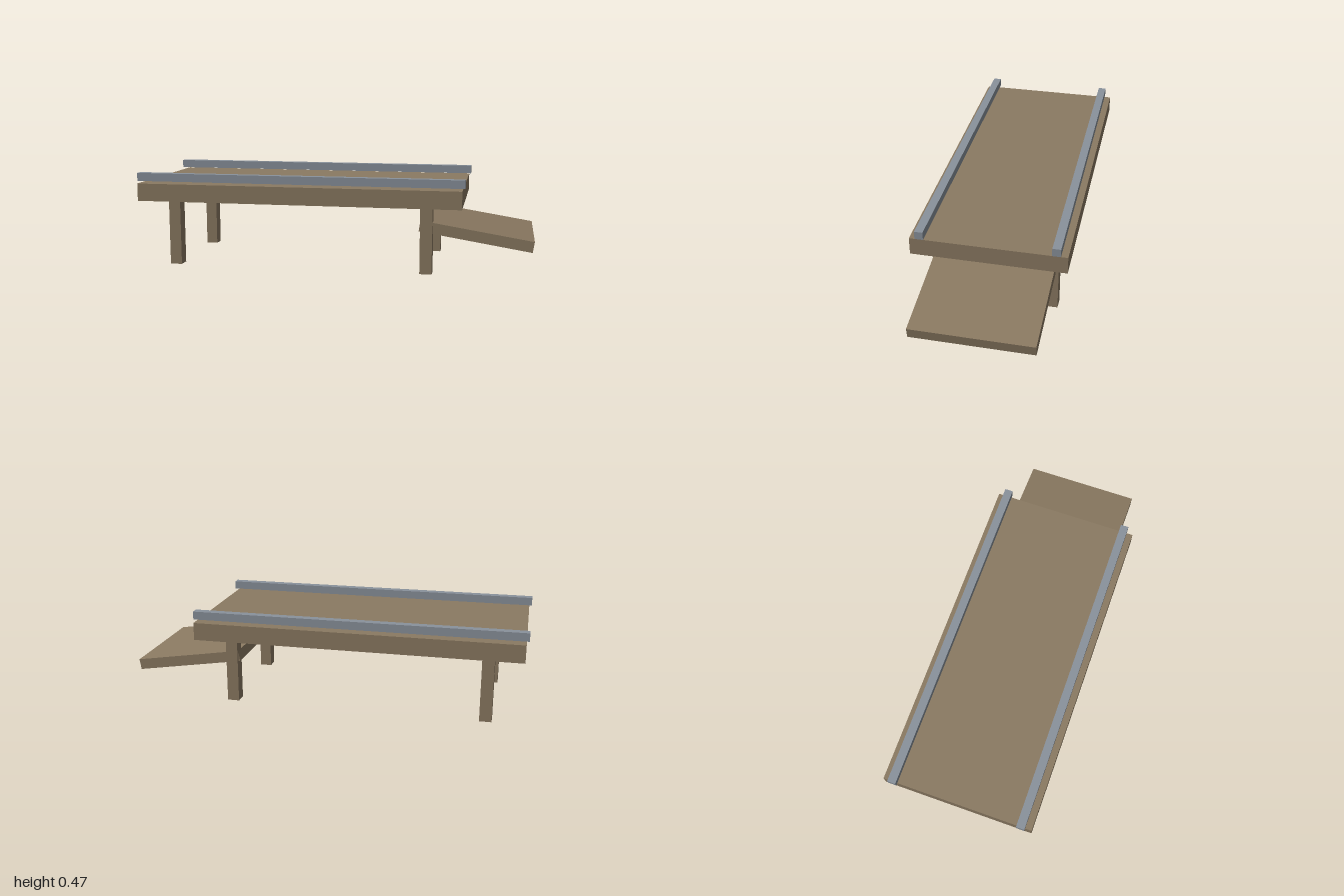
import * as THREE from 'three';

export function createModel() {
  const model = new THREE.Group();
  const wood = new THREE.MeshStandardMaterial({ color: 0x8b7a62 });
  wood.name = 'brown wood';
  const metal = new THREE.MeshStandardMaterial({ color: 0x8a929c });
  metal.name = 'grey metal';

  function addBox(name, material, size, position) {
    const mesh = new THREE.Mesh(new THREE.BoxGeometry(...size), material);
    mesh.name = name;
    mesh.position.set(...position);
    model.add(mesh);
    return mesh;
  }

  // Flat deck
  addBox('deck', wood, [1.64, 0.089, 0.754], [-0.167, 0.3795, 0]);

  for (const [side, sign] of [['front', 1], ['back', -1]]) {
    // Side rail, floating just above the deck
    addBox(side + 'Rail', metal, [1.665, 0.041, 0.041], [-0.1675, 0.4535, sign * 0.3245]);

    // Legs
    for (const [end, x] of [['Right', -0.815], ['Left', 0.478]]) {
      addBox(side + end + 'Leg', wood, [0.06, 0.335, 0.062], [x, 0.1675, sign * 0.283]);
    }
  }

  // Sloping ramp under the left end
  const ramp = addBox('ramp', wood, [0.558, 0.0545, 0.596], [0.72, 0.195, 0]);
  ramp.rotation.z = -0.157;

  return model;
}
